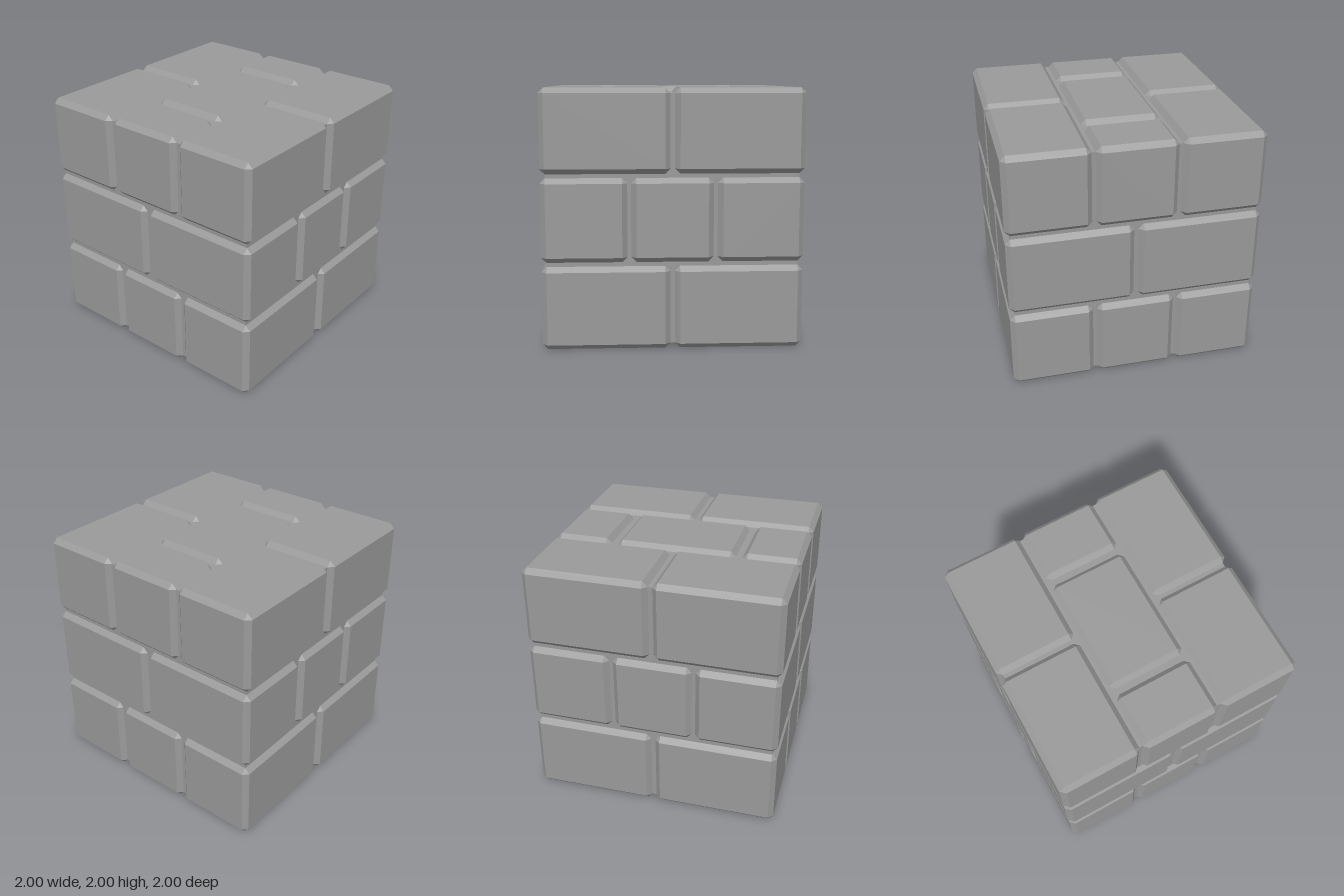
import * as THREE from 'three';
import { ConvexGeometry } from 'three/addons/geometries/ConvexGeometry.js';

const BEVEL = 0.04;

// Box spanning the given [min, max] ranges, with every edge chamfered
function chamferedBox(xr, yr, zr) {
  const points = [];
  for (const i of [0, 1]) for (const j of [0, 1]) for (const k of [0, 1]) {
    const corner = new THREE.Vector3(xr[i], yr[j], zr[k]);
    const inset = new THREE.Vector3(1 - 2 * i, 1 - 2 * j, 1 - 2 * k).multiplyScalar(BEVEL);
    for (const axis of ['x', 'y', 'z']) {
      const p = corner.clone().add(inset);
      p[axis] = corner[axis]; // stay on one face, step in along the other two
      points.push(p);
    }
  }
  return new ConvexGeometry(points);
}

export function createModel() {
  const group = new THREE.Group();
  const material = new THREE.MeshStandardMaterial({ color: 0x9a9a9a, flatShading: true });

  const add = (geometry, name) => {
    const mesh = new THREE.Mesh(geometry, material);
    mesh.name = name;
    group.add(mesh);
  };

  // Mortar core showing at the bottom of the joints
  add(new THREE.BoxGeometry(1.92, 1.92, 1.92).translate(0, 1, 0), 'mortarCore');

  // Ways of splitting the two-unit width into bricks
  const halves = [[-1, -0.018], [0.016, 1]];
  const thirds = [[-1, -0.344], [-0.316, 0.312], [0.342, 1]];
  const offset = [[-1, -0.537], [-0.485, 0.48], [0.532, 1]];

  // Outer courses: three rows, the middle row shifted by half a brick
  const outerCourse = (yr, name) => {
    thirds.forEach((zr, row) => {
      for (const xr of row === 1 ? offset : halves) add(chamferedBox(xr, yr, zr), name);
    });
  };
  outerCourse([0, 0.648], 'bottomBrick');
  outerCourse([1.356, 2], 'topBrick');

  // Middle course: bricks turned to run front to back
  for (const xr of thirds) {
    for (const zr of halves) add(chamferedBox(xr, [0.68, 1.326], zr), 'middleBrick');
  }

  return group;
}
